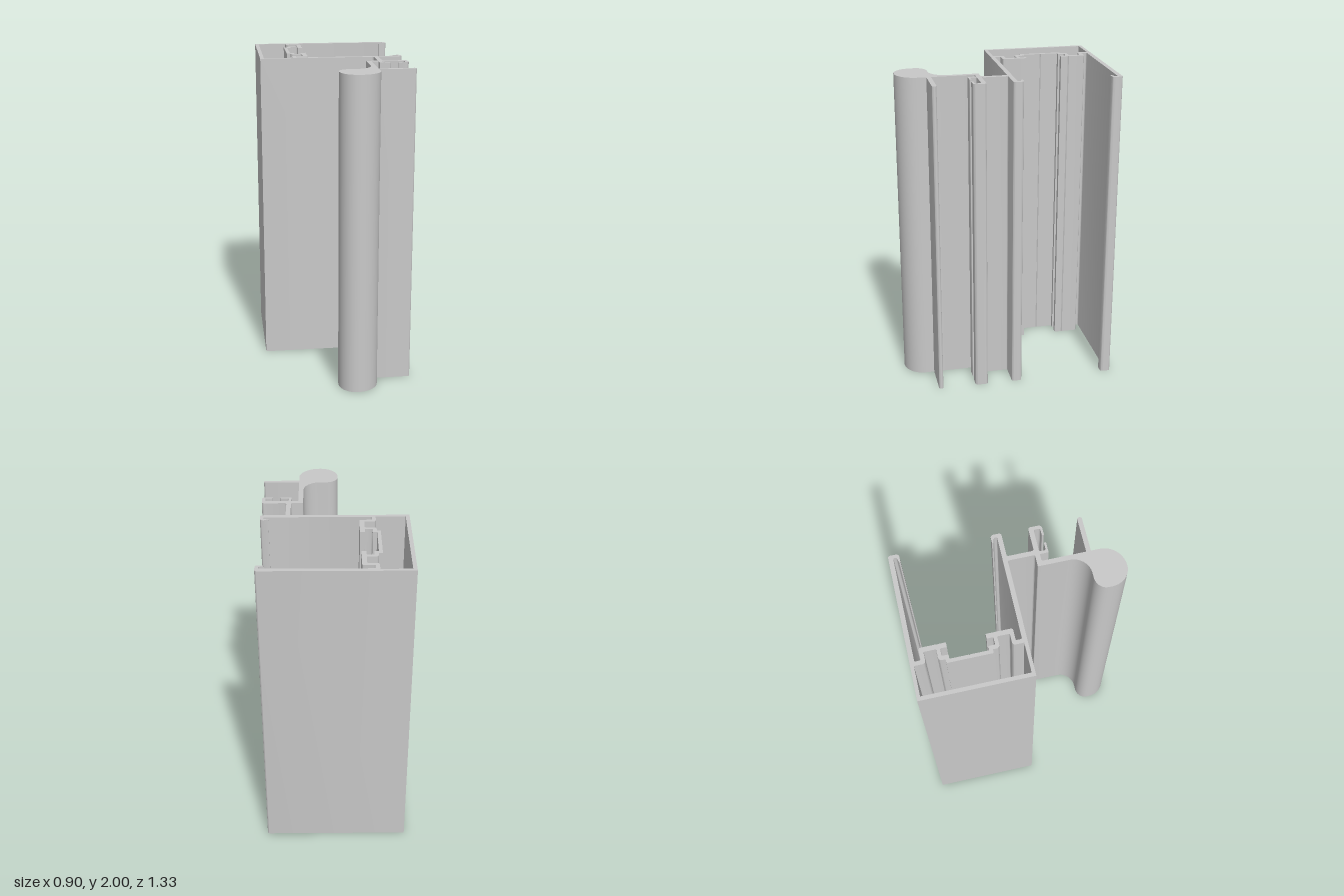
import * as THREE from 'three';
import { toCreasedNormals } from 'three/addons/utils/BufferGeometryUtils.js';

const HEIGHT = 2;
const DEPTH = 0.668; // depth of the box channel, symmetric about its middle

// Draws a closed outline in plan; each corner is [x, z, radiusIn, radiusOut]
function trace(path, corners) {
  const K = 0.5523;
  const n = corners.length;
  corners.forEach(([x, z, rIn = 0, rOut = rIn], i) => {
    const p = new THREE.Vector2(x, -z);
    const toward = (c, r) =>
      new THREE.Vector2(c[0], -c[1]).sub(p).normalize().multiplyScalar(r).add(p);
    const a = toward(corners[(i + n - 1) % n], rIn);
    const b = toward(corners[(i + 1) % n], rOut);
    if (i === 0) path.moveTo(a.x, a.y);
    else path.lineTo(a.x, a.y);
    if (rIn > 0) {
      const c1 = a.clone().lerp(p, K);
      const c2 = b.clone().lerp(p, K);
      path.bezierCurveTo(c1.x, c1.y, c2.x, c2.y, b.x, b.y);
    }
  });
  path.closePath();
  return path;
}

// Extrudes a plan outline upwards; holes run against the outline's direction
function extrusion(name, outline, holes, material) {
  const shape = trace(new THREE.Shape(), outline);
  shape.holes = holes.map((hole) => trace(new THREE.Path(), hole));
  const flat = new THREE.ExtrudeGeometry(shape, {
    depth: HEIGHT, bevelEnabled: false, curveSegments: 10,
  });
  flat.rotateX(-Math.PI / 2);
  const mesh = new THREE.Mesh(toCreasedNormals(flat, 0.5), material);
  mesh.name = name;
  return mesh;
}

// Appends the front half of a symmetric run of corners
const mirrored = (half) => [
  ...half,
  ...half.map(([x, z, r]) => [x, -DEPTH - z, r]).reverse(),
];

export function createModel() {
  const group = new THREE.Group();
  group.name = 'extrudedProfile';
  const metal = new THREE.MeshStandardMaterial({ color: 0xc8c8c8 });
  metal.name = 'aluminiumGrey';

  // Box channel: outer walls, hooked lips and the stepped inner web
  const channelOutline = mirrored([
    [-0.45, -0.668],
    [0.449, -0.668, 0.014],
    [0.449, -0.603, 0.018],
    [0.398, -0.603],
    [0.398, -0.611],
    [0.428, -0.621, 0.005],
    [0.428, -0.64, 0.005],
    [-0.22, -0.64, 0.008],
    [-0.22, -0.604, 0.006],
    [-0.146, -0.604, 0.012],
    [-0.146, -0.447],
    [-0.175, -0.447],
    [-0.175, -0.486, 0.006],
    [-0.22, -0.486, 0.006],
    [-0.22, -0.447],
    [-0.246, -0.447],
    [-0.246, -0.338],
    [-0.25, -0.3345],
  ]);
  // Small score line on the rear leg of the web
  channelOutline.splice(10, 0, [-0.146, -0.5], [-0.15, -0.496], [-0.146, -0.492]);
  const chamber = mirrored([
    [-0.426, -0.647],
    [-0.245, -0.647],
    [-0.245, -0.58, 0.018],
    [-0.175, -0.58, 0.006],
    [-0.175, -0.508, 0.006],
    [-0.245, -0.508, 0.018],
    [-0.245, -0.468],
    [-0.268, -0.468],
  ]).reverse();
  group.add(extrusion('boxChannel', channelOutline, [chamber], metal));

  // Seal carrier: stem, slotted groove, leg with solid bulb, and flange
  const carrierOutline = [
    [0.256, 0],
    [0.268, 0, 0.01],
    [0.268, 0.16, 0.01],
    [0.194, 0.16, 0.005],
    [0.194, 0.455, 0.107],
    [-0.022, 0.455, 0.075, 0.07],
    [-0.022, 0.662, 0.117, 0.11],
    [0.224, 0.662, 0.134, 0.127],
    [0.224, 0.481],
    [0.449, 0.481, 0.012],
    [0.449, 0.453, 0.012],
    [0.224, 0.453],
    [0.224, 0.189, 0.008],
    [0.268, 0.189],
    [0.268, 0.241],
    [0.335, 0.241, 0.005],
    [0.335, 0.228, 0.005],
    [0.286, 0.228, 0.008],
    [0.286, 0.189, 0.008],
    [0.428, 0.189, 0.01],
    [0.428, 0.228, 0.01],
    [0.383, 0.228, 0.005],
    [0.383, 0.241, 0.005],
    [0.449, 0.241, 0.02],
    [0.449, 0.16, 0.015],
    [0.297, 0.16, 0.01],
    [0.297, 0, 0.01],
    [0.309, 0],
  ];
  group.add(extrusion('sealCarrier', carrierOutline, [], metal));

  // Centre the profile in depth
  group.children.forEach((part) => { part.position.z = 0.003; });
  return group;
}
